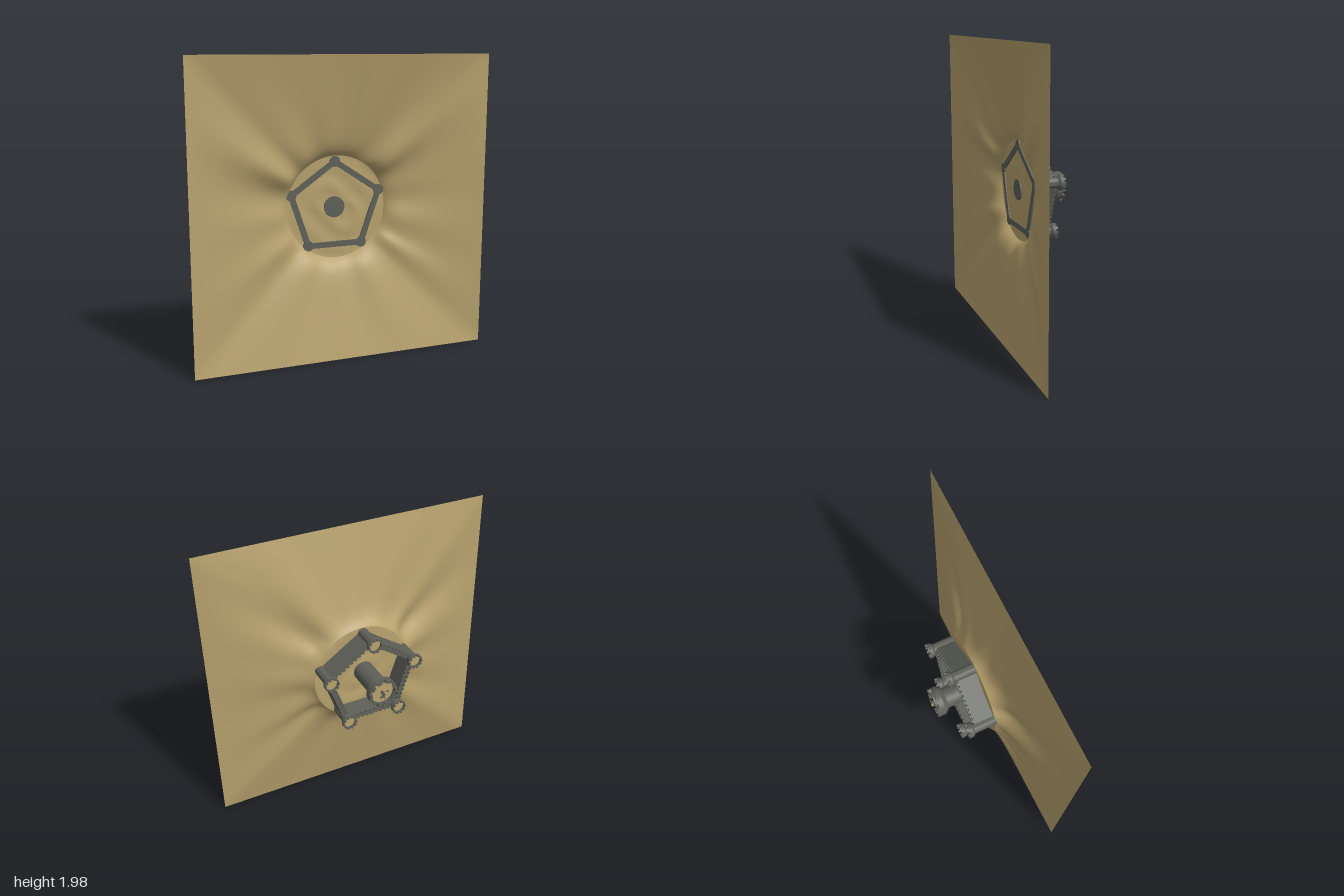
import * as THREE from 'three';
import { toCreasedNormals } from 'three/addons/utils/BufferGeometryUtils.js';

const earth = new THREE.MeshStandardMaterial({ color: 0xb8a26e, side: THREE.DoubleSide });
earth.name = 'earth';
const stone = new THREE.MeshStandardMaterial({ color: 0x5e6058 });
stone.name = 'stone';

const BASE = 0.178; // height where the masonry starts, just under the plateau
const PLATEAU = 0.34;

function mesh(name, geometry, material, parent, x = 0, y = 0, z = 0) {
  const m = new THREE.Mesh(geometry, material);
  m.name = name;
  m.position.set(x, y, z);
  parent.add(m);
  return m;
}

// bell curve around an angle given in degrees
function bell(a, centre, width) {
  const d = ((THREE.MathUtils.radToDeg(a) - centre + 540) % 360) - 180;
  return Math.exp(-((d / width) ** 2));
}

// Hill height: gently rippled plateau, then ridges running out to a square edge
function hillHeight(a, r, t) {
  const ripple = 0.004 * Math.sin(r * 38 + 2 * Math.sin(2 * a)) * Math.sin(Math.PI * Math.min(r / PLATEAU, 1));
  if (t <= 0) return 0.187 + ripple;
  const shoulder = 0.15 - 0.016 * Math.sin(a) ** 2 + 0.014 * Math.sin(a)
    + 0.008 * Math.sin(7 * a) + 0.006 * Math.sin(13 * a + 1)
    - 0.055 * bell(a, 149, 9) - 0.035 * bell(a, 122, 18)
    - 0.045 * bell(a, 43, 10) - 0.025 * bell(a, 325, 6) - 0.015 * bell(a, 212, 7);
  return (1 - t) * (shoulder + (0.187 - shoulder) * Math.exp(-14 * t));
}

function hillGeometry() {
  const SEG = 144, INNER = 12, OUTER = 36, pos = [0, 0.187, 0], index = [];
  for (let j = 1; j <= INNER + OUTER; j++) {
    const t = j <= INNER ? 0 : ((j - INNER) / OUTER) ** 1.6;
    for (let i = 0; i < SEG; i++) {
      const a = (i / SEG) * Math.PI * 2, c = Math.cos(a), s = Math.sin(a);
      const edge = Math.min(1 / Math.max(Math.abs(c), 1e-6), 0.99 / Math.max(Math.abs(s), 1e-6));
      const r = j <= INNER ? (PLATEAU * j) / INNER : PLATEAU + (edge - PLATEAU) * t;
      // the outermost ring is pulled out to the exact corners
      const corner = t === 1 && i % 36 === 18;
      pos.push(corner ? Math.sign(c) : r * c, hillHeight(a, r, t), corner ? 0.99 * Math.sign(s) : r * s);
      const n = (i + 1) % SEG, o = 1 + (j - 1) * SEG, p = o - SEG;
      if (j === 1) index.push(0, o + n, o + i);
      else index.push(p + i, p + n, o + i, p + n, o + n, o + i);
    }
  }
  const g = new THREE.BufferGeometry();
  g.setAttribute('position', new THREE.Float32BufferAttribute(pos, 3));
  g.setIndex(index);
  g.computeVertexNormals();
  return g;
}

// Round tower: shaft, flared head with a parapet, floor and merlons
function tower(name, { r, head, neck, flare, rim, top, floor, merlons }) {
  const g = new THREE.Group();
  g.name = name;
  const inner = head * 0.8;
  const profile = [[0, BASE], [r, BASE], [r, neck], [head, flare], [head, rim], [inner, rim], [inner, floor]]
    .map(([x, y]) => new THREE.Vector2(x, y));
  mesh('shaft', toCreasedNormals(new THREE.LatheGeometry(profile, 28), 0.6), stone, g);
  mesh('towerFloor', new THREE.CircleGeometry(inner, 28).rotateX(-Math.PI / 2), earth, g, 0, floor, 0);
  const depth = head - inner, width = (Math.PI * head) / merlons;
  for (let i = 0; i < merlons; i++) {
    const a = (i / merlons) * Math.PI * 2, d = (head + inner) / 2;
    const m = mesh('merlon', new THREE.BoxGeometry(depth, top - rim, width), stone, g,
      d * Math.cos(a), (top + rim) / 2, d * Math.sin(a));
    m.rotation.y = -a;
  }
  return g;
}

// Straight wall between two corners, with merlons along both edges
function wall(from, to) {
  const g = new THREE.Group();
  g.name = 'curtainWall';
  const dx = to[0] - from[0], dz = to[1] - from[1], length = Math.hypot(dx, dz);
  const wallTop = 0.316, thick = 0.038, count = 9;
  mesh('wallBody', new THREE.BoxGeometry(length, wallTop - BASE, thick), stone, g, 0, (wallTop + BASE) / 2, 0);
  const span = length - 0.07;
  for (const side of [-1, 1]) {
    for (let i = 0; i < count; i++) {
      mesh('merlon', new THREE.BoxGeometry(0.019, 0.012, 0.01), stone, g,
        ((i + 0.5) / count - 0.5) * span, wallTop + 0.006, side * (thick / 2 - 0.005));
    }
  }
  g.position.set((from[0] + to[0]) / 2, 0, (from[1] + to[1]) / 2);
  g.rotation.y = -Math.atan2(dz, dx);
  return g;
}

// Small engine on the keep roof
function roofEngine(floor) {
  const g = new THREE.Group();
  g.name = 'roofEngine';
  mesh('post', new THREE.CylinderGeometry(0.008, 0.01, 0.038, 10), stone, g, 0, 0.019, 0);
  mesh('beam', new THREE.BoxGeometry(0.07, 0.008, 0.012), stone, g, 0, 0.032, 0).rotation.z = 0.15;
  mesh('crossBeam', new THREE.BoxGeometry(0.01, 0.008, 0.05), stone, g, 0.012, 0.036, 0);
  mesh('load', new THREE.SphereGeometry(0.01, 12, 8), earth, g, -0.012, 0.036, 0);
  g.position.y = floor;
  g.rotation.y = 0.5;
  return g;
}

export function createModel() {
  const model = new THREE.Group();
  model.name = 'hillCastle';

  // The castle is built upright, then tipped so that its height runs towards the back
  const tipped = new THREE.Group();
  tipped.name = 'castleAndHill';
  tipped.rotation.x = -Math.PI / 2;
  tipped.position.set(0, 0.99, 0.248);
  model.add(tipped);

  mesh('hill', hillGeometry(), earth, tipped);

  const corners = [[-0.01, 0.303], [0.298, 0.099], [0.176, -0.25], [-0.195, -0.25], [-0.31, 0.093]];
  corners.forEach((c, i) => {
    tipped.add(wall(c, corners[(i + 1) % corners.length]));
    const t = tower('cornerTower', {
      r: 0.035, head: 0.05, neck: 0.332, flare: 0.346, rim: 0.365, top: 0.378, floor: 0.354, merlons: 10,
    });
    t.position.set(c[0], 0, c[1]);
    tipped.add(t);
  });

  const keep = tower('keep', {
    r: 0.07, head: 0.1, neck: 0.4, flare: 0.43, rim: 0.466, top: 0.485, floor: 0.456, merlons: 10,
  });
  keep.add(roofEngine(0.456));
  keep.position.set(-0.014, 0, 0.002);
  tipped.add(keep);

  return model;
}
